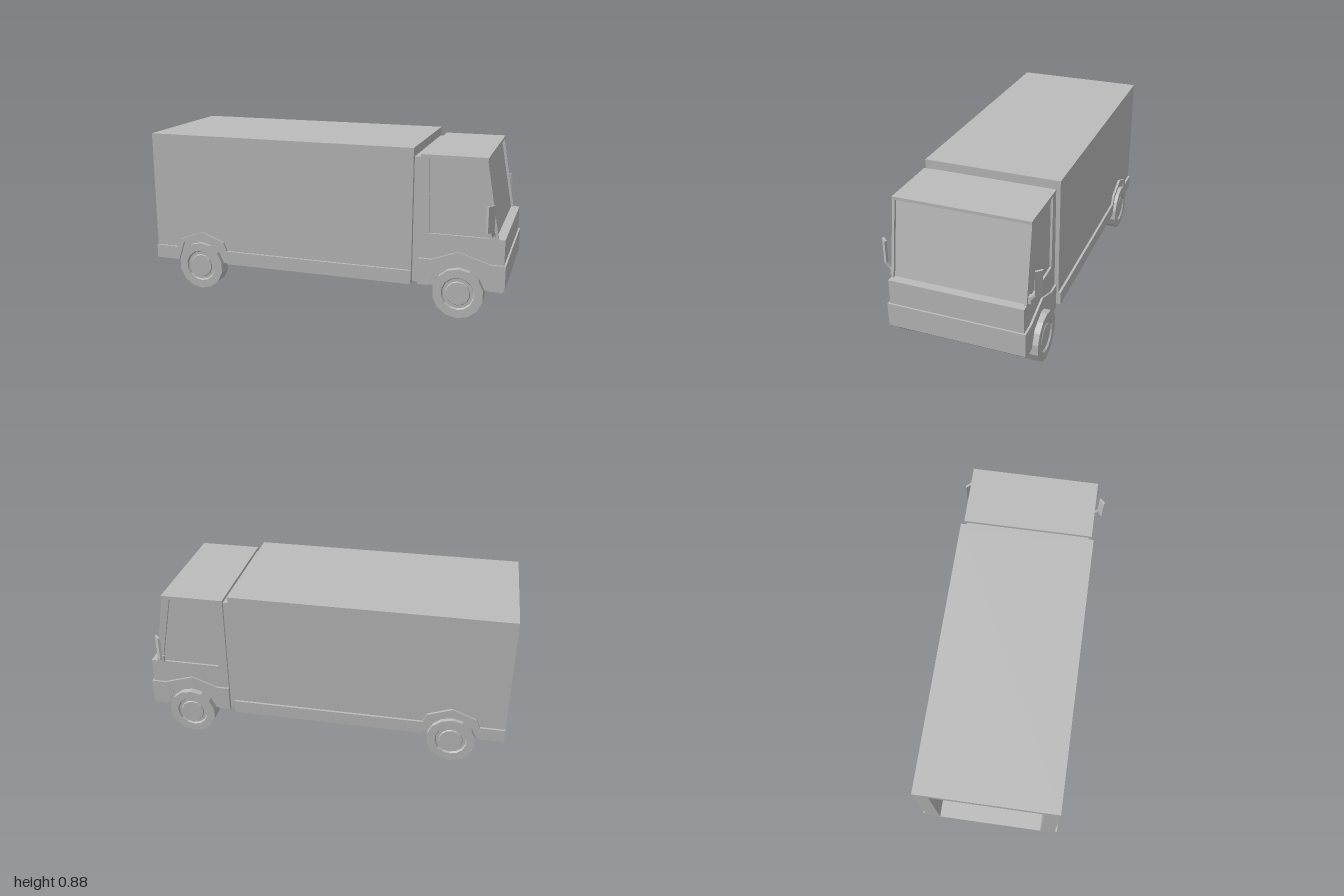
import * as THREE from 'three';

const grey = new THREE.MeshStandardMaterial({ color: 0xbbbbbb });
grey.name = 'body grey';

const toPoints = (list) => list.map(([x, y]) => new THREE.Vector2(x, y));

export function createModel() {
  const truck = new THREE.Group();
  truck.name = 'boxTruck';

  function add(name, geometry) {
    const mesh = new THREE.Mesh(geometry, grey);
    mesh.name = name;
    truck.add(mesh);
    return mesh;
  }

  function box(name, x0, x1, y0, y1, halfWidth) {
    add(name, new THREE.BoxGeometry(x1 - x0, y1 - y0, halfWidth * 2))
      .position.set((x0 + x1) / 2, (y0 + y1) / 2, 0);
  }

  // Side profile (x, y) extruded across z0..z1
  function slab(name, profile, z0, z1, hole) {
    const shape = new THREE.Shape(toPoints(profile));
    if (hole) shape.holes.push(new THREE.Path(toPoints(hole)));
    const geometry = new THREE.ExtrudeGeometry(shape, { depth: z1 - z0, bevelEnabled: false });
    add(name, geometry.translate(0, 0, z0));
  }

  function slabPair(name, profile, z0, z1, hole) {
    slab(name + 'Near', profile, z0, z1, hole);
    slab(name + 'Far', profile, -z1, -z0, hole);
  }

  // Cargo body: a tube open at the rear, closed by a front wall
  const section = new THREE.Shape(toPoints([[-0.37, 0.157], [0.37, 0.157], [0.37, 0.883], [-0.37, 0.883]]));
  section.holes.push(new THREE.Path(toPoints([[-0.29, 0.168], [0.29, 0.168], [0.29, 0.838], [-0.29, 0.838]])));
  const shell = new THREE.ExtrudeGeometry(section, { depth: 1.48, bevelEnabled: false });
  add('cargoBody', shell.rotateY(Math.PI / 2).translate(-1, 0, 0));
  box('cargoFrontWall', 0.48, 0.51, 0.157, 0.883, 0.37);

  // Lower skirts with an arch over each rear wheel
  slabPair('cargoSkirt', [
    [-1, 0.155], [-0.86, 0.155], [-0.825, 0.26], [-0.71, 0.308], [-0.592, 0.26], [-0.555, 0.155],
    [0.51, 0.155], [0.51, 0.23], [-0.555, 0.23], [-0.575, 0.28], [-0.71, 0.33], [-0.845, 0.277],
    [-0.865, 0.23], [-1, 0.23],
  ], 0.369, 0.383);

  // Link between cab and cargo body
  box('cabLink', 0.505, 0.55, 0.16, 0.835, 0.343);

  // Cab core, its sloped front being the recessed windscreen
  slab('cabCore', [
    [0.546, 0.157], [0.985, 0.157], [0.985, 0.434], [0.942, 0.434], [0.868, 0.84], [0.546, 0.84],
  ], -0.347, 0.347);

  // Cab sides with a window opening; their front edges form the pillars
  slabPair('cabSide', [
    [0.545, 0.157], [0.99, 0.157], [0.99, 0.435], [0.957, 0.435], [0.882, 0.852], [0.545, 0.852],
  ], 0.346, 0.359, [[0.597, 0.437], [0.922, 0.437], [0.842, 0.835], [0.59, 0.835]]);

  // Roof, its front lip and the front panel
  box('cabRoof', 0.546, 0.88, 0.835, 0.852, 0.347);
  box('roofLip', 0.873, 0.888, 0.836, 0.852, 0.36);
  box('frontPanel', 0.96, 0.99, 0.16, 0.435, 0.347);

  // Bumper with a chamfered lower edge
  slab('bumper', [[0.975, 0.155], [0.985, 0.155], [1, 0.17], [1, 0.3], [0.975, 0.3]], -0.37, 0.37);

  // Lower cab cladding with a peaked front wheel arch
  slabPair('cabCladding', [
    [0.545, 0.157], [0.6, 0.157], [0.645, 0.25], [0.755, 0.3], [0.875, 0.245], [0.915, 0.157],
    [0.98, 0.157], [0.98, 0.3], [0.92, 0.3], [0.755, 0.352], [0.615, 0.3], [0.545, 0.3],
  ], 0.358, 0.37);

  // Door mirrors: angled upright plate, diagonal arm and foot
  for (const side of [1, -1]) {
    const plan = [[0.895, 0.418], [0.908, 0.422], [0.937, 0.392], [0.925, 0.387]];
    const shape = new THREE.Shape(toPoints(plan.map(([x, z]) => [x, -z * side])));
    const plate = new THREE.ExtrudeGeometry(shape, { depth: 0.14, bevelEnabled: false });
    add('mirror', plate.rotateX(-Math.PI / 2).translate(0, 0.48, 0));

    const arm = new THREE.LineCurve3(
      new THREE.Vector3(0.927, 0.452, 0.362 * side), new THREE.Vector3(0.928, 0.492, 0.395 * side));
    add('mirrorArm', new THREE.TubeGeometry(arm, 1, 0.011, 4));
    add('mirrorFoot', new THREE.BoxGeometry(0.028, 0.038, 0.018))
      .position.set(0.924, 0.456, 0.364 * side);
  }

  // Fourteen-sided wheels with a recessed rim and a raised hub
  const wheelProfile = toPoints([
    [0, -0.041], [0.134, -0.041], [0.134, 0.041], [0.088, 0.041], [0.082, 0.031],
    [0.066, 0.031], [0.062, 0.037], [0, 0.037],
  ]);
  const wheelGeometry = new THREE.LatheGeometry(wheelProfile, 14).toNonIndexed();
  wheelGeometry.computeVertexNormals();
  for (const [name, x] of [['rearWheel', -0.715], ['frontWheel', 0.763]]) {
    for (const side of [1, -1]) {
      const wheel = add(name, wheelGeometry);
      wheel.rotation.x = side * Math.PI / 2;
      wheel.position.set(x, 0.134, side * 0.354);
    }
  }

  return truck;
}
